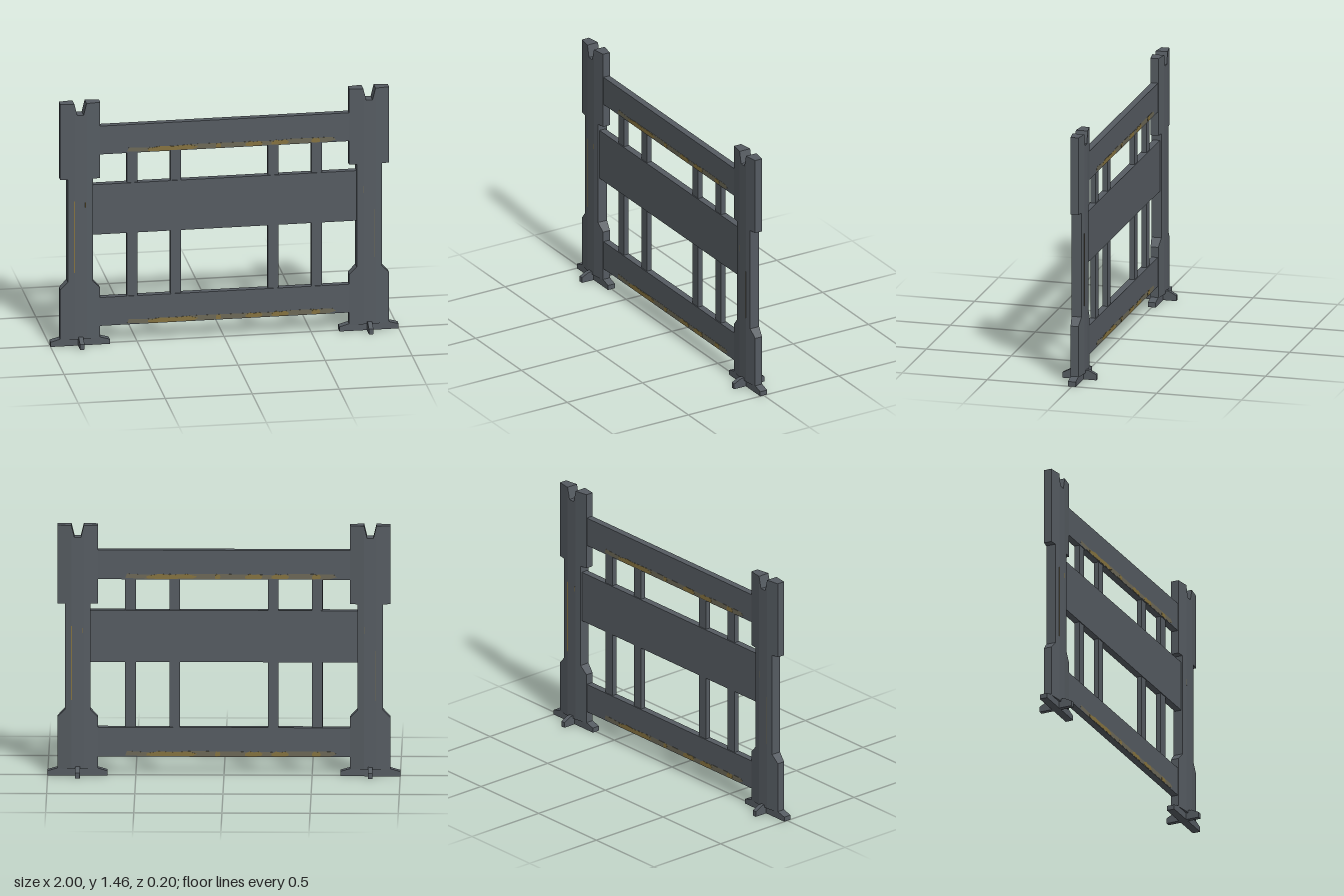
import * as THREE from 'three';

const steel = new THREE.MeshStandardMaterial({ color: 0x555b61 });
steel.name = 'slate grey';
const gold = new THREE.MeshStandardMaterial({ color: 0x85723f });
gold.name = 'worn gold';
const dull = new THREE.MeshStandardMaterial({ color: 0x6c6856 });
dull.name = 'faded gold';

// Prism of an x-y outline, centred on z = 0
function prism(points, depth) {
  const shape = new THREE.Shape(points.map(([x, y]) => new THREE.Vector2(x, y)));
  const geo = new THREE.ExtrudeGeometry(shape, { depth, bevelEnabled: false });
  return geo.translate(0, 0, -depth / 2);
}

function add(parent, name, geo, material = steel) {
  const mesh = new THREE.Mesh(geo, material);
  mesh.name = name;
  parent.add(mesh);
  return mesh;
}

// Box given by its x and y limits
function slab(parent, name, x0, x1, y0, y1, depth, material = steel, z = 0) {
  const mesh = add(parent, name, new THREE.BoxGeometry(x1 - x0, y1 - y0, depth), material);
  mesh.position.set((x0 + x1) / 2, (y0 + y1) / 2, z);
  return mesh;
}

// Post: flat notched core with a tapering wing on each side
function createPost() {
  const post = new THREE.Group();
  const core = [[-0.035, 0.04], [0.035, 0.04], [0.035, 1.455], [0.018, 1.385], [-0.018, 1.385], [-0.035, 1.455]];
  add(post, 'postCore', prism(core, 0.07));

  const wing = [[0.035, 0.04], [0.115, 0.04], [0.115, 0.34], [0.072, 0.385], [0.072, 1.0],
    [0.115, 1.0], [0.115, 1.455], [0.035, 1.455]];
  for (const side of [-1, 1]) {
    const geo = prism(wing, 2);
    const pos = geo.attributes.position;
    for (let i = 0; i < pos.count; i++) {
      const x = pos.getX(i);
      pos.setZ(i, pos.getZ(i) * (0.035 - (x - 0.035) * 0.15));
    }
    geo.computeVertexNormals();
    // Half a turn mirrors the symmetric wing
    if (side < 0) geo.rotateY(Math.PI);
    add(post, 'postWing', geo);
  }

  // Crossed foot: long bar along x, short bar along z
  const foot = [[-0.17, 0], [0.17, 0], [0.17, 0.028], [0.11, 0.045], [-0.11, 0.045], [-0.17, 0.028]];
  add(post, 'footBar', prism(foot, 0.046));
  const cross = [[-0.1, 0], [0.1, 0], [0.1, 0.032], [0.055, 0.055], [-0.055, 0.055], [-0.1, 0.032]];
  add(post, 'footCrossBar', prism(cross, 0.026).rotateY(Math.PI / 2));
  return post;
}

// Worn paint on one face of the barrier
function createWear() {
  const wear = new THREE.Group();
  const patches = [[-0.44, -0.15], [-0.05, -0.02], [0.12, 0.22], [0.27, 0.37], [0.5, 0.55]];
  for (const base of [0.113, 1.143]) {
    const strip = [[-0.56, 0.005], [-0.44, 0], [0.6, 0], [0.64, 0.012], [0.62, 0.028], [0.38, 0.03],
      [0.3, 0.024], [0.1, 0.027], [-0.15, 0.03], [-0.45, 0.024], [-0.55, 0.03]];
    add(wear, 'fadedStrip', prism(strip, 0.002), dull).position.set(0, base, 0.02);
    for (const [x0, x1] of patches) {
      const w = x1 - x0;
      const patch = [[x0, 0.004], [x0 + w * 0.2, 0], [x1 - w * 0.1, 0.002], [x1, 0.014],
        [x1 - w * 0.2, 0.028], [x0 + w * 0.5, 0.023], [x0 + w * 0.25, 0.029], [x0, 0.016]];
      add(wear, 'goldPatch', prism(patch, 0.003), gold).position.set(0, base, 0.0205);
    }
  }
  // Thin scratches on the posts
  slab(wear, 'postScratch', -0.867, -0.862, 0.44, 0.87, 0.004, gold, 0.0337);
  slab(wear, 'postScratch', -0.803, -0.799, 0.83, 0.86, 0.004, gold, 0.0337);
  slab(wear, 'postScratch', 0.86, 0.863, 0.44, 0.73, 0.004, dull, 0.0337);
  slab(wear, 'postScratch', 0.797, 0.8, 0.83, 0.87, 0.004, dull, 0.0337);
  return wear;
}

export function createModel() {
  const model = new THREE.Group();
  model.name = 'barrier';

  // Posts
  for (const side of [-1, 1]) {
    const post = createPost();
    post.name = side > 0 ? 'leftPost' : 'rightPost';
    post.position.x = side * 0.83;
    model.add(post);
  }

  // Rails
  slab(model, 'bottomRail', -0.73, 0.73, 0.11, 0.28, 0.04);
  slab(model, 'middlePanel', -0.765, 0.765, 0.66, 0.96, 0.04);
  slab(model, 'topRail', -0.73, 0.73, 1.14, 1.31, 0.04);

  // Upright bars between the rails
  for (const x of [-0.53, -0.28, 0.28, 0.53]) {
    slab(model, 'lowerBar', x - 0.03, x + 0.03, 0.28, 0.66, 0.03);
    slab(model, 'upperBar', x - 0.03, x + 0.03, 0.96, 1.14, 0.03);
  }

  // Same wear on front and back, turned half round
  for (const turn of [0, Math.PI]) {
    const wear = createWear();
    wear.name = turn ? 'backWear' : 'frontWear';
    wear.rotation.y = turn;
    model.add(wear);
  }
  return model;
}
